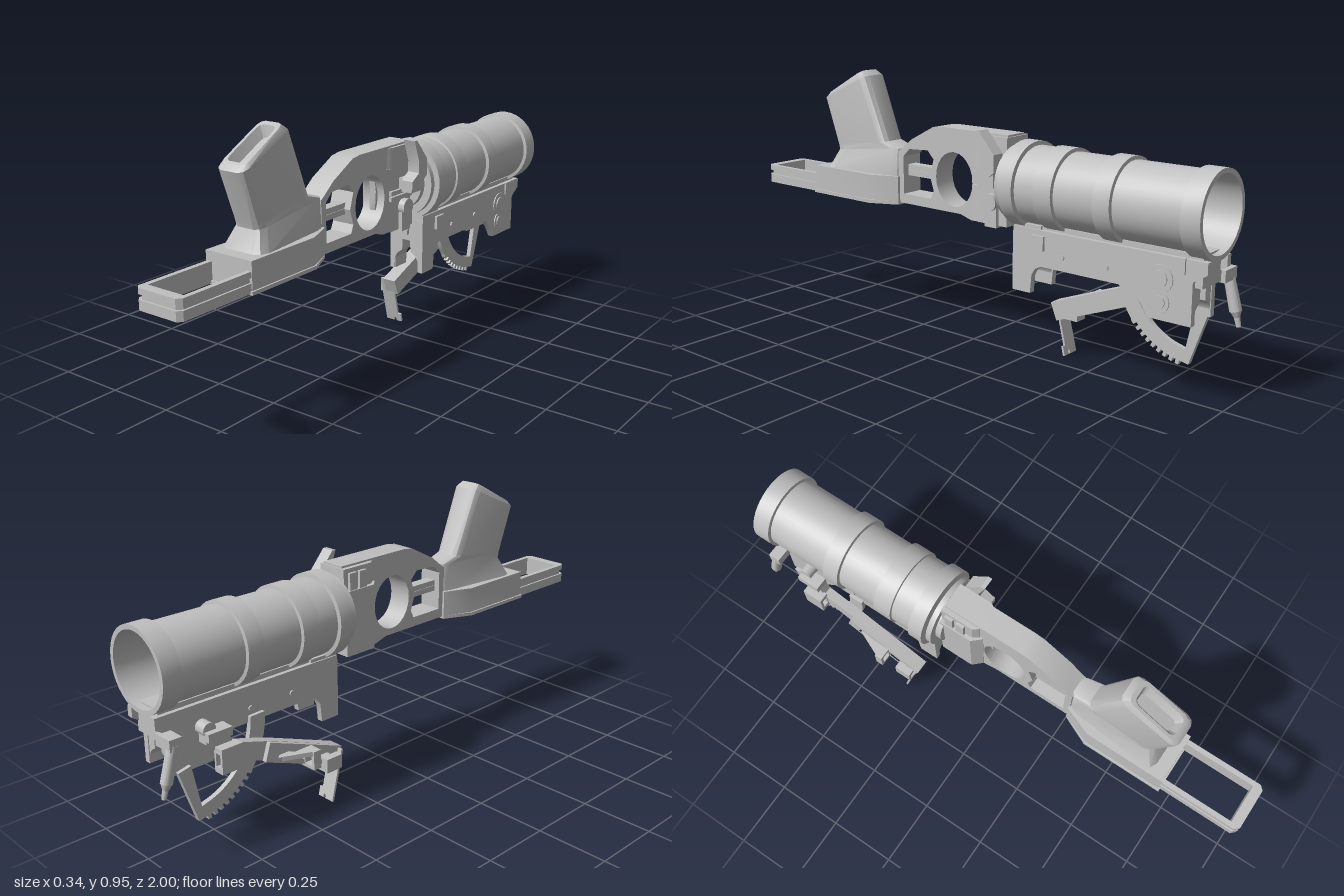
import * as THREE from 'three';
import { toCreasedNormals } from 'three/addons/utils/BufferGeometryUtils.js';

const CX = 0.018; // centre plane of barrel and receiver

export function createModel() {
  const root = new THREE.Group();
  const grey = new THREE.MeshStandardMaterial({ color: 0xc0c0c0 });
  grey.name = 'metal grey';

  const add = (name, geo, parent = root) => {
    const m = new THREE.Mesh(toCreasedNormals(geo, 0.5), grey);
    m.name = name;
    parent.add(m);
    return m;
  };
  const shapeOf = (pts, holes = []) => {
    const s = new THREE.Shape(pts.map(p => new THREE.Vector2(...p)));
    holes.forEach(h => s.holes.push(new THREE.Path(h.map(p => new THREE.Vector2(...p)))));
    return s;
  };
  const extrude = (shape, depth) => new THREE.ExtrudeGeometry(shape, { depth, bevelEnabled: false });
  // [z, y] outline, extruded from x0 to x1
  const side = (name, pts, x0, x1, holes) =>
    add(name, extrude(shapeOf(pts, holes), x1 - x0).rotateY(-Math.PI / 2).translate(x1, 0, 0));
  // [x, z] outline, extruded from y0 to y1
  const flip = pts => pts.map(([x, z]) => [x, -z]).reverse();
  const slab = (name, pts, y0, y1, holes = []) =>
    add(name, extrude(shapeOf(flip(pts), holes.map(flip)), y1 - y0).rotateX(-Math.PI / 2).translate(0, y0, 0));
  // [x, y] outline, extruded from z0 to z1
  const face = (name, pts, z0, z1, holes) =>
    add(name, extrude(shapeOf(pts, holes), z1 - z0).translate(0, 0, z0));
  const box = (name, x0, x1, y0, y1, z0, z1) =>
    add(name, new THREE.BoxGeometry(x1 - x0, y1 - y0, z1 - z0)
      .translate((x0 + x1) / 2, (y0 + y1) / 2, (z0 + z1) / 2));
  const pinX = (name, x0, x1, y, z, r) =>
    add(name, new THREE.CylinderGeometry(r, r, x1 - x0, 20).rotateZ(Math.PI / 2).translate((x0 + x1) / 2, y, z));
  const arc = (cx, cy, rx, ry, a0, a1, n) => Array.from({ length: n + 1 }, (_, i) => {
    const a = THREE.MathUtils.degToRad(a0 + (a1 - a0) * i / n);
    return [cx + rx * Math.cos(a), cy + ry * Math.sin(a)];
  });
  const rect = (x0, x1, y0, y1) => [[x0, y0], [x1, y0], [x1, y1], [x0, y1]];

  // Hollow tube with raised bands
  const profile = [[0, 0.24], [0.147, 0.24], [0.147, 0.295], [0.133, 0.297], [0.133, 0.375],
    [0.14, 0.377], [0.14, 0.447], [0.128, 0.449], [0.128, 0.603], [0.14, 0.605], [0.14, 0.667],
    [0.128, 0.669], [0.128, 0.907], [0.14, 0.909], [0.14, 0.975], [0.124, 0.975], [0.12, 0.32], [0, 0.32]];
  add('tube', new THREE.LatheGeometry(profile.map(p => new THREE.Vector2(...p)), 36)
    .rotateX(-Math.PI / 2).translate(CX, 0.622, 0));
  const disc = (name, r, z0, z1) => add(name, new THREE.CylinderGeometry(r, r, z1 - z0, 36)
    .rotateX(Math.PI / 2).translate(CX, 0.622, (z0 + z1) / 2));
  disc('breechPlate', 0.13, -0.232, -0.212);
  disc('breechNeck', 0.1, -0.245, -0.19);

  // Receiver with trigger opening and rear window
  side('receiver', [[0.31, 0.48], [0.31, 0.67], [0.295, 0.68], [0.246, 0.72], [0.14, 0.776], [0.1, 0.782],
    [-0.2, 0.782], [-0.2, 0.47], [-0.04, 0.465], [0.01, 0.48]], -0.028, 0.06, [
    arc(0.04, 0.6, 0.085, 0.098, 0, 345, 23),
    [[0.285, 0.515], [0.285, 0.655], [0.255, 0.685], [0.165, 0.69], [0.137, 0.66], [0.155, 0.6], [0.137, 0.545], [0.15, 0.515]]]);
  slab('receiverFront', [[-0.03, -0.048], [-0.06, -0.08], [-0.06, -0.205], [0.07, -0.205], [0.07, -0.08], [0.06, -0.048]], 0.468, 0.7);
  slab('receiverTop', [[-0.03, -0.06], [-0.045, -0.08], [-0.045, -0.205], [0.07, -0.205], [0.07, -0.08], [0.06, -0.06]], 0.7, 0.775);
  for (const y of [0.591, 0.612]) {
    box('windowRod', -0.005, 0.035, y - 0.01, y + 0.01, 0.14, 0.3);
    box('sideRod', 0.068, 0.08, y - 0.008, y + 0.008, -0.21, -0.06);
  }
  side('trigger', [[-0.05, 0.67], [-0.028, 0.66], [-0.034, 0.62], [-0.03, 0.56], [-0.038, 0.54], [-0.05, 0.55]], 0.005, 0.03);
  pinX('sideKnob', 0.06, 0.095, 0.55, -0.145, 0.03);
  box('knobTail', 0.06, 0.085, 0.462, 0.535, -0.17, -0.12);
  for (const z of [-0.17, -0.125]) box('leftLug', -0.056, -0.04, 0.7, 0.76, z - 0.016, z + 0.016);

  // Safety lever standing beside the receiver
  side('safetyLever', [[-0.12, 0.8], [-0.135, 0.8], [-0.2, 0.725], [-0.2, 0.665], [-0.18, 0.65], [-0.11, 0.63],
    [-0.11, 0.655], [-0.15, 0.68], [-0.15, 0.72]], 0.088, 0.135);
  box('leverFoot', 0.06, 0.125, 0.61, 0.66, -0.19, -0.12);

  // Grip base and open rear frame with a grooved edge
  const base = i => [[-0.078 + i, 0.705 - i], [0.112 - i, 0.705 - i], [0.112 - i, 0.41], [0.07, 0.305], [-0.036, 0.305], [-0.078 + i, 0.41]];
  slab('gripBase', base(0), 0.48, 0.578);
  slab('baseFlange', base(-0.006), 0.472, 0.484);
  [[0.475, 0.508, 0], [0.508, 0.525, 0.007], [0.525, 0.545, 0]].forEach(([y0, y1, i]) =>
    slab('rearFrame', [[-0.072 + i, 0.62], [0.109 - i, 0.62], [0.109 - i, 0.985 - i], [0.094 - i, 1 - i], [-0.057 + i, 1 - i], [-0.072 + i, 0.985 - i]],
      y0, y1, [[[-0.054, 0.69], [0.091, 0.69], [0.091, 0.965], [-0.054, 0.965]]]));

  // Grip: chamfered sections, each [front z, y, back z, y, front and back half width], ending in a top recess
  const sections = [[0.66, 0.575, 0.303, 0.575, 0.09, 0.052], [0.627, 0.645, 0.303, 0.68, 0.056, 0.046],
    [0.632, 0.665, 0.37, 0.7, 0.054, 0.05], [0.69, 0.835, 0.466, 0.935, 0.058, 0.055], [0.678, 0.852, 0.492, 0.953, 0.048, 0.046],
    [0.664, 0.86, 0.508, 0.945, 0.037, 0.035], [0.642, 0.833, 0.51, 0.905, 0.022, 0.02]];
  const corner = [[1, 0.76], [0.87, 0.93], [0.58, 1]];
  const back = corner.map(([u, v]) => [u, -v]);
  const mirror = pts => pts.map(([u, v]) => [-u, v]).reverse();
  const ring = [...back, ...mirror(back), ...mirror([...corner].reverse()), ...[...corner].reverse()];
  const N = ring.length, pos = [], idx = [];
  sections.forEach(([fz, fy, bz, by, wf, wb], r) => ring.forEach(([u, v], j) => {
    const t = (v + 1) / 2;
    pos.push(CX + u * (wb + (wf - wb) * t), by + (fy - by) * t, bz + (fz - bz) * t);
    const a = r * N + j, b = r * N + (j + 1) % N;
    if (r < sections.length - 1) idx.push(a, b, b + N, a, b + N, a + N);
    else if (j > 0 && j < N - 1) idx.push(r * N, a, b);
  }));
  const grip = new THREE.BufferGeometry();
  grip.setAttribute('position', new THREE.Float32BufferAttribute(pos, 3));
  grip.setIndex(idx);
  add('grip', grip);

  // Mounting rail under the tube: two cheeks, a web and forked ends
  const cheek = [[-0.25, 0.488], [-0.25, 0.265], [-0.322, 0.265], [-0.328, 0.33], [-0.342, 0.352], [-0.365, 0.364],
    [-0.71, 0.364], [-0.75, 0.32], [-0.775, 0.28], [-0.925, 0.28], [-0.925, 0.42], [-0.972, 0.45], [-0.972, 0.488]];
  side('railCheekRight', cheek, -0.055, -0.033);
  side('railCheekLeft', cheek, 0.068, 0.09);
  box('railWeb', -0.04, 0.075, 0.4, 0.505, -0.95, -0.26);
  const fork = [[-0.055, 0.47], [-0.055, 0.265], [-0.038, 0.265], ...arc(CX, 0.285, 0.055, 0.06, 180, 110, 6),
    [0.0, 0.385], [0.034, 0.385], ...arc(CX, 0.285, 0.055, 0.06, 70, 0, 6), [0.074, 0.265], [0.09, 0.265], [0.09, 0.47]];
  face('frontFork', fork, -0.322, -0.248);
  face('rearFork', fork.map(([x, y]) => [x, Math.max(y, 0.285)]), -0.922, -0.85);
  box('railLug', 0.085, 0.1, 0.42, 0.47, -0.38, -0.33);
  box('railKey', 0.005, 0.03, 0.41, 0.47, -0.26, -0.235);
  box('underTubeBlock', -0.05, 0.085, 0.43, 0.5, -0.36, -0.25);
  box('rearStop', 0.085, 0.096, 0.44, 0.49, -0.9, -0.86);
  for (const [y, r] of [[0.412, 0.045], [0.338, 0.035]]) {
    pinX('bossRing', 0.08, 0.094, y, -0.815, r);
    pinX('bossCore', 0.08, 0.098, y, -0.815, r * 0.6);
  }
  for (const z of [-0.45, -0.62]) pinX('railPin', -0.06, 0.095, 0.41, z, 0.01);

  // Toothed elevation quadrant
  const teeth = Array.from({ length: 9 }, (_, i) => {
    const a = -38 - i * 4.9;
    return [...arc(-0.865, 0.38, 0.293, 0.293, a, a - 2.4, 1), ...arc(-0.865, 0.38, 0.278, 0.278, a - 2.6, a - 4.7, 1)];
  }).flat();
  side('quadrant', [...arc(-0.865, 0.38, 0.29, 0.29, 2, -37, 8), ...teeth,
    [-0.848, 0.1], [-0.912, 0.29], [-0.865, 0.3], [-0.835, 0.148], ...arc(-0.865, 0.38, 0.232, 0.232, -78, 2, 14)], -0.068, -0.05);
  pinX('pivot', -0.098, -0.04, 0.412, -0.81, 0.024);

  // Folding sight arm
  side('sightArm', [[-0.295, 0.187], [-0.32, 0.125], [-0.62, 0.242], [-0.74, 0.29], [-0.83, 0.37], [-0.83, 0.4],
    [-0.75, 0.4], [-0.73, 0.345], [-0.584, 0.3]], -0.105, -0.068);
  side('armOuterRail', [[-0.295, 0.187], [-0.32, 0.125], [-0.62, 0.242], [-0.6, 0.305]], -0.122, -0.1,
    [[[-0.35, 0.18], [-0.36, 0.158], [-0.57, 0.24], [-0.56, 0.262]]]);
  box('armHinge', -0.15, -0.1, 0.125, 0.175, -0.385, -0.32);
  face('apertureFrame', rect(-0.17, -0.11, 0.172, 0.238), -0.46, -0.43, [rect(-0.158, -0.125, 0.185, 0.225)]);
  slab('apertureBracket', [[-0.168, -0.45], [-0.105, -0.45], [-0.105, -0.56], [-0.12, -0.56]], 0.222, 0.238);
  face('postFrame', rect(-0.14, -0.1, 0.27, 0.355), -0.8, -0.72, [rect(-0.13, -0.108, 0.29, 0.335)]);
  box('armCap', -0.12, -0.068, 0.38, 0.41, -0.83, -0.74);
  const flap = add('sightFlap', extrude(shapeOf([[-0.14, 0], [-0.14, -0.189], [-0.103, -0.189], [-0.103, -0.175], [-0.094, -0.175],
    [-0.094, -0.189], [-0.07, -0.189], [-0.07, -0.155], [-0.083, -0.155], [-0.083, 0]]), 0.008));
  flap.rotation.x = 0.245;
  flap.position.set(0, 0.186, -0.312);

  // Locking lever hanging at the muzzle end: [top radius, bottom radius, height, centre]
  const lever = new THREE.Group();
  lever.name = 'lockLever';
  [[0.018, 0.02, 0.12, -0.06], [0.018, 0.008, 0.025, -0.1325], [0.01, 0.008, 0.03, -0.155]].forEach(([top, bot, h, y]) =>
    add('leverPart', new THREE.CylinderGeometry(top, bot, h, 14).translate(0, y, 0), lever));
  lever.position.set(-0.1, 0.41, -0.945);
  lever.rotation.x = 0.26;
  box('leverMount', -0.115, -0.04, 0.395, 0.435, -0.965, -0.92);
  root.add(lever);

  return root;
}
